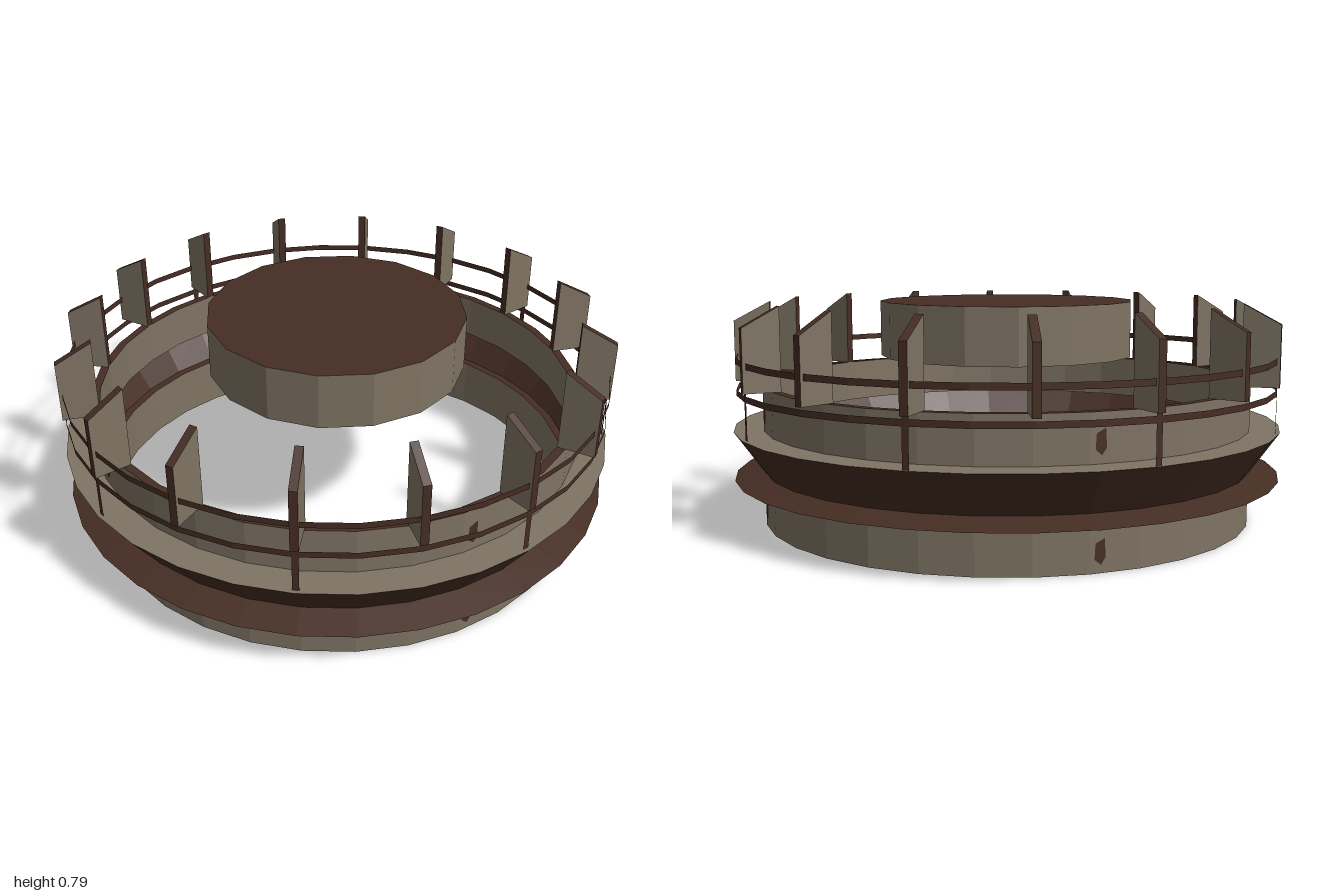
import * as THREE from 'three';

const SIDES = 32;

export function createModel() {
  const model = new THREE.Group();
  const metal = new THREE.MeshStandardMaterial({ color: 0x7f7464, flatShading: true, side: THREE.DoubleSide });
  metal.name = 'weathered metal';
  const rust = new THREE.MeshStandardMaterial({ color: 0x452d23, flatShading: true, side: THREE.DoubleSide });
  rust.name = 'rust brown';

  const add = (name, geometry, material, parent = model) => {
    const mesh = new THREE.Mesh(geometry, material);
    mesh.name = name;
    parent.add(mesh);
    return mesh;
  };
  // revolves a list of [radius, height] points around the vertical axis
  const ring = (name, points, material, sides = SIDES) =>
    add(name, new THREE.LatheGeometry(points.map(([r, y]) => new THREE.Vector2(r, y)), sides), material);

  // lower and upper ring walls, with rusty rims
  const outer = 0.895, inner = 0.865;
  ring('lowerWallOutside', [[outer, 0], [outer, 0.17]], metal);
  ring('lowerWallInside', [[inner, 0.19], [inner, 0]], metal);
  ring('lowerWallBottomRim', [[inner, 0], [outer, 0]], rust);
  ring('lowerWallTopRim', [[outer, 0.19], [inner, 0.19]], rust);
  ring('upperWallOutside', [[outer, 0.34], [outer, 0.5]], metal);
  ring('upperWallInside', [[inner, 0.5], [inner, 0.34]], metal);
  ring('upperWallTopRim', [[outer, 0.5], [inner, 0.5]], rust);

  // walkway on top of the pinched V-shaped collar
  ring('walkway', [[1, 0.34], [inner, 0.34]], metal);
  ring('collar', [[outer, 0.165], [1, 0.165], [outer, 0.19], [1, 0.34]], rust);

  // central hub, open underneath
  ring('hubWall', [[0.465, 0.59], [0.465, 0.79]], metal, 16);
  ring('hubTop', [[0.465, 0.79], [0, 0.79]], rust, 16);

  // two thin band railings
  for (const y of [0.48, 0.592]) {
    ring('railing', [[0.985, y - 0.011], [0.985, y + 0.011]], rust);
  }

  // sixteen radial fins: metal faces, rusty edges, sloped tops
  const finShape = new THREE.Shape([[0.865, 0.5], [0.995, 0.5], [0.995, 0.72], [0.865, 0.79]]
    .map(([r, y]) => new THREE.Vector2(r, y)));
  const finGeometry = new THREE.ExtrudeGeometry(finShape, { depth: 0.028, bevelEnabled: false });
  finGeometry.translate(0, 0, -0.014);
  const postGeometry = new THREE.PlaneGeometry(0.022, 0.27);
  postGeometry.rotateY(Math.PI / 2);
  postGeometry.translate(0.985, 0.475, 0);
  for (let i = 0; i < 16; i++) {
    const angle = (i / 16) * Math.PI * 2;
    add('fin', finGeometry, [metal, rust]).rotation.y = angle;
    // every second fin has a railing post down to the walkway
    if (i % 2 === 0) add('railingPost', postGeometry, rust).rotation.y = angle;
  }

  // small rust stains repeated on each quarter of the walls
  const stainShape = new THREE.Shape([[-0.015, 0.03], [0.016, 0.045], [0.02, -0.015], [0.004, -0.038], [-0.018, -0.02]]
    .map(([x, y]) => new THREE.Vector2(x, y)));
  const stainGeometry = new THREE.ShapeGeometry(stainShape);
  for (let i = 0; i < 4; i++) {
    const quarter = new THREE.Group();
    quarter.name = 'rustStains';
    quarter.rotation.y = i * Math.PI / 2 - Math.PI / SIDES;
    for (const y of [0.065, 0.405]) {
      add('rustStain', stainGeometry, rust, quarter).position.set(-0.053, y, 0.893);
    }
    model.add(quarter);
  }
  return model;
}
